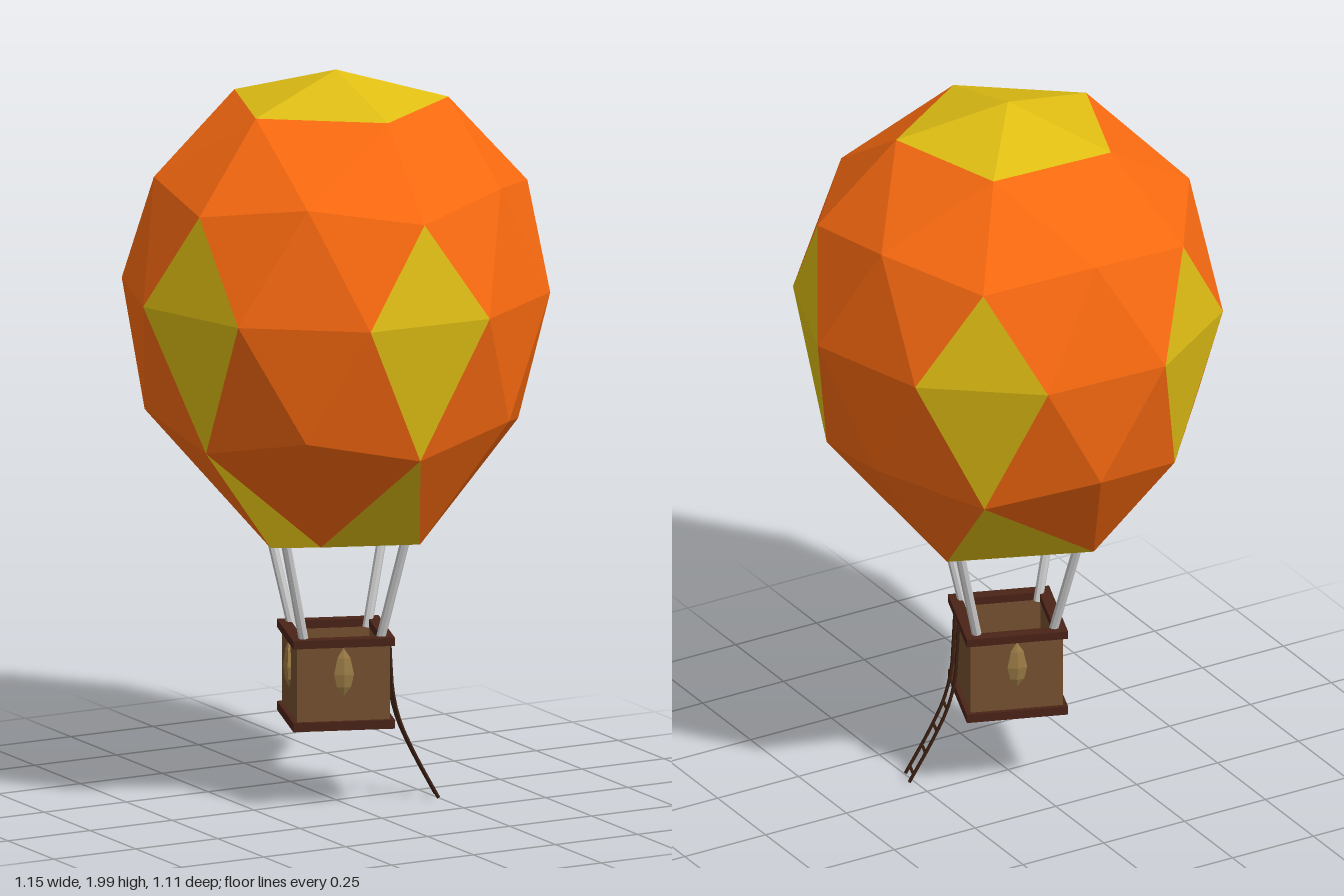
import * as THREE from 'three';

const mat = (color, extra = {}) => new THREE.MeshStandardMaterial({ color, flatShading: true, ...extra });
const ORANGE = mat(0xfa6a10), YELLOW = mat(0xe0be14), WOOD = mat(0x74502f);
const TRIM = mat(0x4a2317), DARK = mat(0x3a1f12), BAG = mat(0x9a7a45), GREY = mat(0xcccccc);

function add(parent, name, geometry, material, x = 0, y = 0, z = 0) {
  const mesh = new THREE.Mesh(geometry, material);
  mesh.name = name;
  mesh.position.set(x, y, z);
  parent.add(mesh);
  return mesh;
}

// Straight bar between two points
function bar(parent, name, a, b, radius, sides, material) {
  const dir = new THREE.Vector3().subVectors(b, a);
  const mesh = add(parent, name, new THREE.CylinderGeometry(radius, radius, dir.length(), sides), material);
  mesh.position.addVectors(a, b).multiplyScalar(0.5);
  mesh.quaternion.setFromUnitVectors(new THREE.Vector3(0, 1, 0), dir.normalize());
  return mesh;
}

// Square tube of given height, open through the middle
function squareFrame(outer, inner, height) {
  const square = (Type, h) => new Type([[-h, -h], [h, -h], [h, h], [-h, h]].map(p => new THREE.Vector2(...p)));
  const shape = square(THREE.Shape, outer);
  shape.holes.push(square(THREE.Path, inner));
  return new THREE.ExtrudeGeometry(shape, { depth: height, bevelEnabled: false }).rotateX(-Math.PI / 2);
}

// Faceted envelope: five-fold rings of a stretched icosphere, gathered to a squarish mouth
function makeEnvelope() {
  const ring = (offset, r, y) => [0, 1, 2, 3, 4].map(k => {
    const a = THREE.MathUtils.degToRad(72 * k + offset - 2);
    return [r * Math.sin(a), y, r * Math.cos(a)];
  });
  const top = [0, 2, 0], bottom = [0, 0.715, 0];
  const A = ring(0, 0.303, 1.915), U = ring(0, 0.516, 1.68), M = ring(36, 0.491, 1.725);
  const El = ring(-18, 0.577, 1.412), Er = ring(18, 0.577, 1.412);
  const D = ring(0, 0.491, 1.03), L = ring(36, 0.516, 1.092);
  const B = [[0.11, 0.262], [0.256, -0.115], [-0.11, -0.262], [-0.258, 0.105], [-0.138, 0.165]]
    .map(([x, z]) => [x, 0.743, z]);

  const orange = [], yellow = [];
  for (let k = 0; k < 5; k++) {
    const n = (k + 1) % 5, p = (k + 4) % 5;
    yellow.push(
      top, A[k], A[n],
      U[k], El[k], Er[k], El[k], D[k], Er[k],
      D[k], B[p], B[k], B[p], bottom, B[k]);
    orange.push(
      A[k], U[k], M[k], A[k], M[k], A[n], A[n], M[k], U[n],
      U[k], Er[k], M[k], M[k], Er[k], El[n], M[k], El[n], U[n],
      Er[k], D[k], L[k], Er[k], L[k], El[n], L[k], D[n], El[n],
      L[k], D[k], B[k], L[k], B[k], D[n]);
  }
  const group = new THREE.Group();
  group.name = 'envelope';
  for (const [name, tris, m] of [['orangePanels', orange, ORANGE], ['yellowPanels', yellow, YELLOW]]) {
    const g = new THREE.BufferGeometry();
    g.setAttribute('position', new THREE.Float32BufferAttribute(tris.flat(), 3));
    g.computeVertexNormals();
    add(group, name, g, m);
  }
  return group;
}

// Rope ladder hanging outside the +x wall and swinging outward at its foot
function makeLadder() {
  const group = new THREE.Group();
  group.name = 'ladder';
  const path = [[0.139, 0.465], [0.143, 0.38], [0.149, 0.3], [0.168, 0.22], [0.21, 0.125], [0.272, 0.008]];
  const curve = side => new THREE.CatmullRomCurve3(path.map(([x, y]) => new THREE.Vector3(x, y, side * 0.027)));
  const left = curve(1), right = curve(-1);
  for (const c of [left, right]) add(group, 'ladderRail', new THREE.TubeGeometry(c, 14, 0.005, 5), DARK);
  for (let i = 0; i < 7; i++) {
    const t = 0.1 + i * 0.142;
    bar(group, 'ladderRung', left.getPointAt(t), right.getPointAt(t), 0.0045, 5, DARK);
  }
  return group;
}

function makeBasket() {
  const group = new THREE.Group();
  group.name = 'basket';
  add(group, 'walls', squareFrame(0.125, 0.108, 0.23), WOOD, 0, 0.235, 0);
  add(group, 'floor', new THREE.BoxGeometry(0.274, 0.024, 0.274), TRIM, 0, 0.238, 0);
  add(group, 'topRim', squareFrame(0.137, 0.104, 0.022), TRIM, 0, 0.452, 0);

  // Faceted sandbags on the three walls without the ladder
  const profile = [[0, -0.066], [0.022, -0.04], [0.031, -0.005], [0.02, 0.04], [0, 0.066]]
    .map(p => new THREE.Vector2(...p));
  for (const [x, z] of [[0, 1], [0, -1], [-1, 0]]) {
    const bag = add(group, 'sandbag', new THREE.LatheGeometry(profile, 6), BAG, x * 0.127, 0.383, z * 0.127);
    bag.rotation.y = Math.atan2(x, z);
    bag.scale.z = 0.5;
  }

  // Suspension poles from the rim corners to the envelope mouth
  for (const sx of [-1, 1]) for (const sz of [-1, 1]) {
    bar(group, 'suspensionPole', new THREE.Vector3(sx * 0.1, 0.45, sz * 0.1),
      new THREE.Vector3(sx * 0.163, 0.755, sz * 0.163), 0.013, 8, GREY);
  }
  group.add(makeLadder());
  group.rotation.y = THREE.MathUtils.degToRad(-20);
  return group;
}

export function createModel() {
  const model = new THREE.Group();
  model.name = 'hotAirBalloon';
  model.add(makeEnvelope(), makeBasket());
  return model;
}
